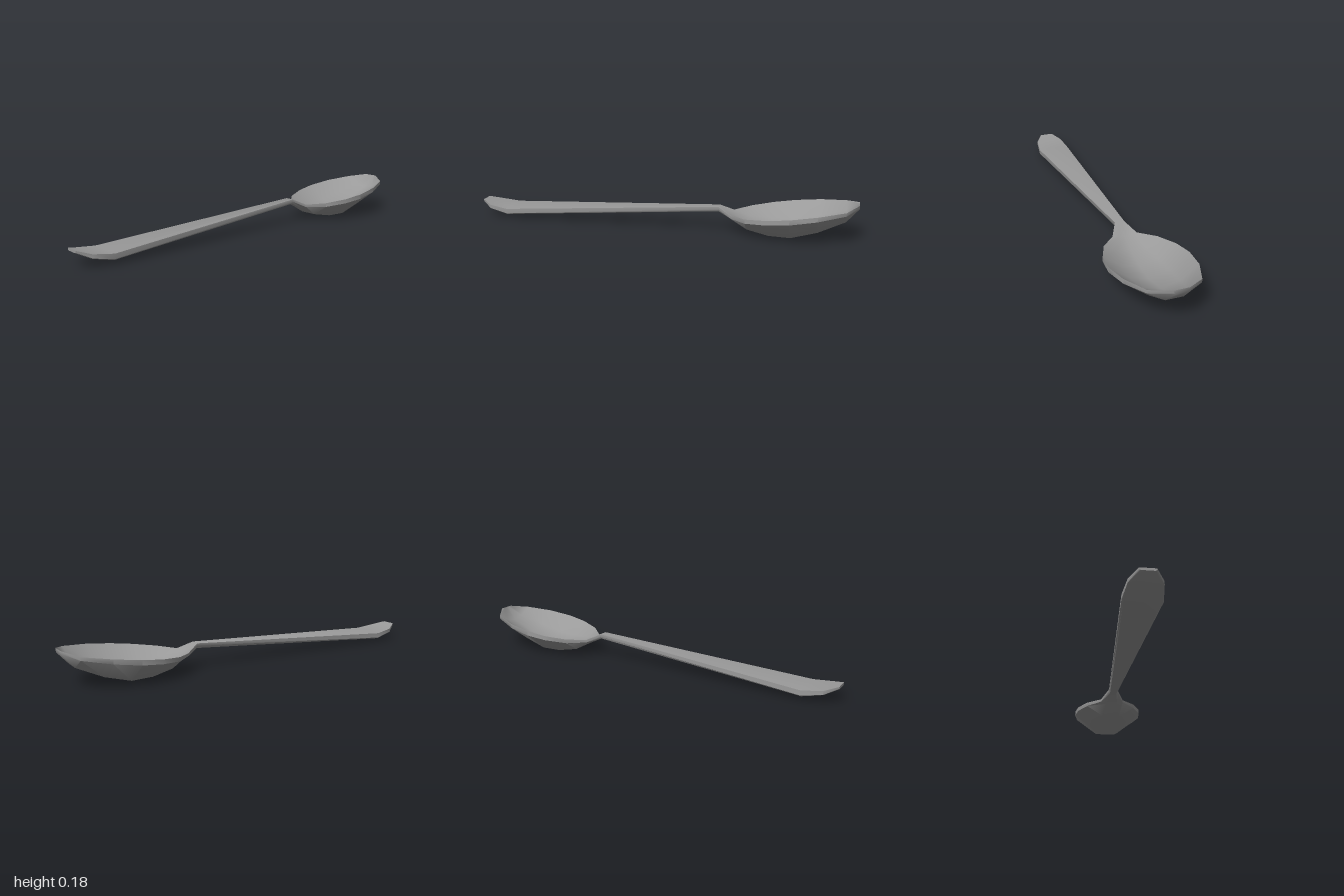
import * as THREE from 'three';
import { toCreasedNormals } from 'three/addons/utils/BufferGeometryUtils.js';

// Stations from handle end to bowl tip:
// z, half width, rim y, rim underside y, centre floor y, underside y, underside half width
const stations = [
  [1.0, 0.036, 0.08, 0.072, 0.08, 0.068, 0.03],
  [0.94, 0.075, 0.062, 0.043, 0.062, 0.04, 0.068],
  [0.84, 0.088, 0.049, 0.024, 0.052, 0.018, 0.08],
  [-0.31, 0.024, 0.125, 0.112, 0.126, 0.1, 0.018],
  [-0.38, 0.062, 0.092, 0.078, 0.083, 0.066, 0.03],
  [-0.46, 0.135, 0.101, 0.08, 0.049, 0.024, 0.048],
  [-0.57, 0.18, 0.115, 0.092, 0.028, 0.003, 0.06],
  [-0.68, 0.193, 0.13, 0.105, 0.027, 0.0, 0.06],
  [-0.81, 0.175, 0.148, 0.125, 0.06, 0.037, 0.055],
  [-0.94, 0.122, 0.165, 0.148, 0.116, 0.097, 0.042],
  [-1.0, 0.036, 0.182, 0.17, 0.178, 0.162, 0.025],
];

// One closed cross-section: over the top from +x to -x, back along the underside
function section([z, w, rim, rimLow, floor, under, underW]) {
  const midX = w * 0.5;
  const midY = floor + (rim - floor) * 0.28;
  return [
    [w, rim, z], [midX, midY, z], [0, floor, z], [-midX, midY, z], [-w, rim, z],
    [-w, rimLow, z], [-underW, under, z], [underW, under, z], [w, rimLow, z],
  ];
}

// Skin neighbouring cross-sections and close both ends
function loft(sections) {
  const n = sections[0].length;
  const last = (sections.length - 1) * n;
  const index = [];
  for (let i = 0; i < sections.length - 1; i++) {
    for (let j = 0; j < n; j++) {
      const a = i * n + j, b = i * n + (j + 1) % n;
      index.push(a, a + n, b, b, a + n, b + n);
    }
  }
  for (let k = 1; k < n - 1; k++) {
    index.push(0, k, k + 1);
    index.push(last, last + k + 1, last + k);
  }
  const geometry = new THREE.BufferGeometry();
  geometry.setAttribute('position', new THREE.Float32BufferAttribute(sections.flat(2), 3));
  geometry.setIndex(index);
  return toCreasedNormals(geometry, 0.9);
}

export function createModel() {
  const steel = new THREE.MeshStandardMaterial({ color: 0x9a9a9a });
  steel.name = 'steel grey';

  // Handle and bowl are one continuous skin
  const spoon = new THREE.Mesh(loft(stations.map(section)), steel);
  spoon.name = 'handleAndBowl';

  const group = new THREE.Group();
  group.name = 'spoon';
  group.add(spoon);
  return group;
}
